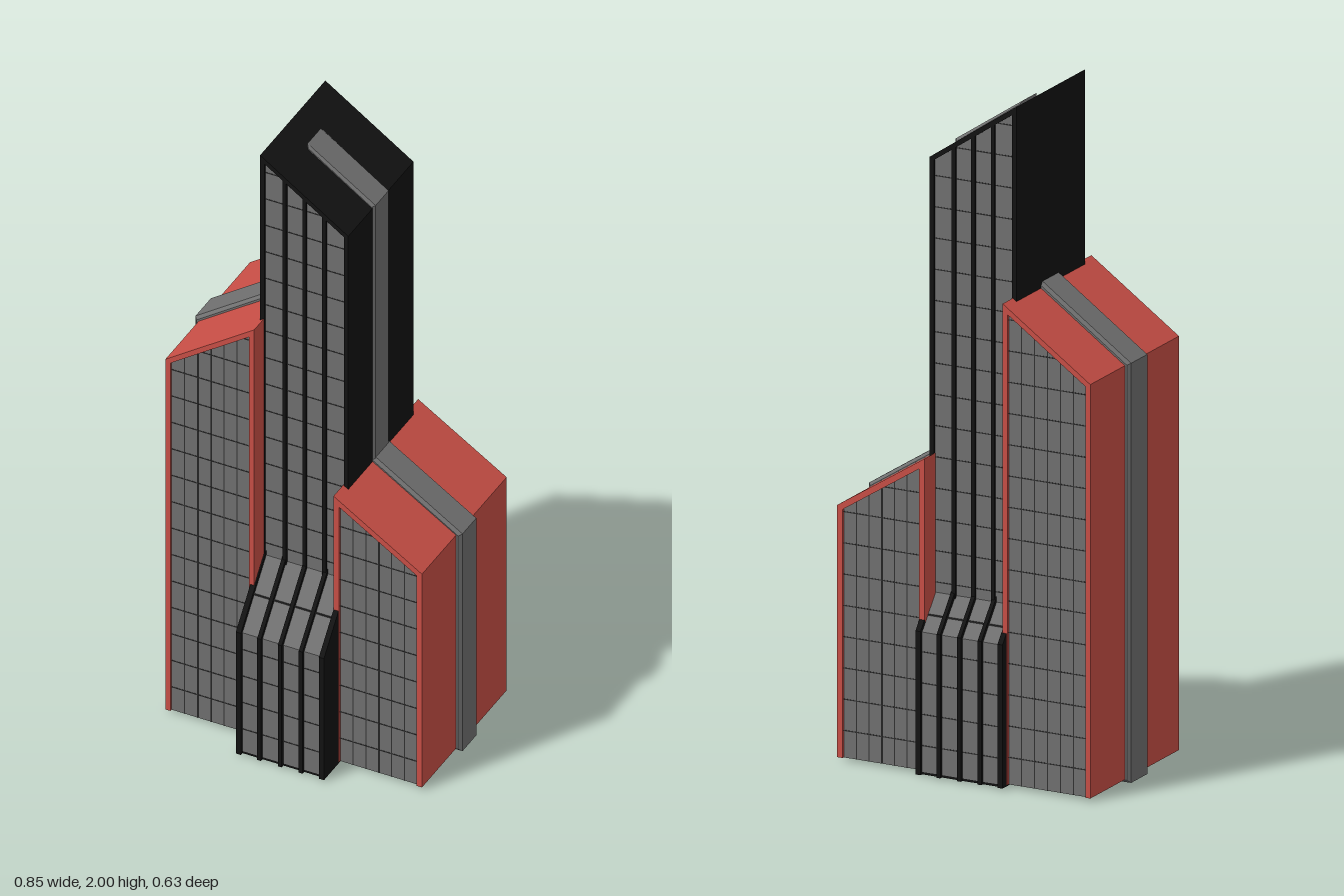
import * as THREE from 'three';

const RED = new THREE.MeshStandardMaterial({ color: 0xc94f46 });
const BLACK = new THREE.MeshStandardMaterial({ color: 0x121212 });
const GREY = new THREE.MeshStandardMaterial({ color: 0x707070 });
const LINE = new THREE.MeshStandardMaterial({ color: 0x303030 });

const INSET = 0.01; // how far the glass sits behind its frame

// Extrude an outline in the x/y plane from z0 to z1, optionally chamfered
function prism(name, points, z0, z1, material, bevel = 0) {
  const shape = new THREE.Shape(points.map(p => new THREE.Vector2(...p)));
  const geometry = new THREE.ExtrudeGeometry(shape, {
    depth: z1 - z0 - 2 * bevel, bevelEnabled: bevel > 0, bevelSize: bevel,
    bevelThickness: bevel, bevelOffset: -bevel, bevelSegments: 1,
  });
  geometry.translate(0, 0, z0 + bevel);
  const mesh = new THREE.Mesh(geometry, material);
  mesh.name = name;
  return mesh;
}

// Extrude an outline given as [z, y] across x0..x1
function crossPrism(name, points, x0, x1, material) {
  const mesh = prism(name, points, -x1, -x0, material);
  mesh.geometry.rotateY(-Math.PI / 2);
  return mesh;
}

function bar(name, x0, x1, y0, y1, z0, z1, material) {
  const mesh = new THREE.Mesh(new THREE.BoxGeometry(x1 - x0, y1 - y0, z1 - z0), material);
  mesh.position.set((x0 + x1) / 2, (y0 + y1) / 2, (z0 + z1) / 2);
  mesh.name = name;
  return mesh;
}

// Block with a slanted roof and a framed, gridded glass wall at front and back
function slantedBlock(name, { x0, x1, top0, top1, z0, z1, base, frame, columns, fin, material }) {
  const group = new THREE.Group();
  group.name = name;
  const slope = (top1 - top0) / (x1 - x0);
  const top = x => top0 + slope * (x - x0);
  const a = x0 + frame, b = x1 - frame;
  const edge = x => top(x) - frame * 1.2;

  group.add(prism('body', [[x0, base], [x1, base], [x1, top1], [x0, top0]],
    z0 + INSET, z1 - INSET, material));
  const framePoints = [[x0, base], [a, base], [a, edge(a)], [b, edge(b)], [b, base],
    [x1, base], [x1, top1], [x0, top0]];
  const glassPoints = [[a, base], [b, base], [b, edge(b)], [a, edge(a)]];

  for (const [outer, dir] of [[z1, 1], [z0, -1]]) {
    const inner = outer - dir * INSET;
    const layer = (from, depth) => [Math.min(from, from + dir * depth), Math.max(from, from + dir * depth)];
    group.add(prism('frame', framePoints, ...layer(inner, INSET), material));
    group.add(prism('glass', glassPoints, ...layer(inner, 0.003), GREY));

    // Upright mullions, cut to the roof slope
    const w = fin ? 0.006 : 0.0015;
    for (let i = 1; i < columns; i++) {
      const x = a + (b - a) * i / columns;
      group.add(prism('mullion', [[x - w, base], [x + w, base], [x + w, edge(x + w)], [x - w, edge(x - w)]],
        ...layer(inner, fin ? INSET : 0.004), fin ? BLACK : LINE));
    }
    // Floor lines, shortened where the roof cuts them
    for (let y = 0.09; y < Math.max(edge(a), edge(b)); y += 0.0925) {
      const cut = x0 + (y + frame * 1.2 - top0) / slope;
      const left = slope > 0 ? Math.max(a, cut) : a;
      const right = slope < 0 ? Math.min(b, cut) : b;
      if (right - left > 0.005) {
        group.add(bar('floorLine', left, right, y - 0.0015, y + 0.0015, ...layer(inner, 0.004), LINE));
      }
    }
  }
  return group;
}

// Low annex with a sloping glass roof, running through the tower front to back
function podium() {
  const group = new THREE.Group();
  group.name = 'podium';
  const profile = (d, base) => [
    [0.315 - d, base], [0.315 - d, 0.43 - d * 0.4], [0.15, 0.628 - d * 1.6],
    [-0.22, 0.55 - d * 1.6], [-0.32 + d, 0.43 - d * 0.4], [-0.32 + d, base],
  ];
  group.add(crossPrism('glass', profile(INSET, 0.012), -0.13, 0.13, GREY));
  group.add(bar('floorPlate', -0.13, 0.13, 0.005, 0.012, -0.31, 0.305, BLACK));
  for (let i = 0; i < 5; i++) {
    const x = -0.132 + i * 0.066;
    const w = i % 4 === 0 ? 0.008 : 0.006;
    group.add(crossPrism('fin', profile(0, 0.005), x - w, x + w, BLACK));
  }
  for (let y = 0.09; y < 0.42; y += 0.0925) {
    group.add(bar('floorLine', -0.13, 0.13, y - 0.0015, y + 0.0015, -0.311, 0.306, LINE));
  }
  // Cross bars halfway up the sloping glass
  for (const [z, y] of [[0.235, 0.517], [-0.275, 0.469]]) {
    group.add(bar('roofLine', -0.13, 0.13, y - 0.003, y + 0.001, z - 0.0015, z + 0.0015, LINE));
  }
  return group;
}

export function createModel() {
  const model = new THREE.Group();
  model.name = 'skyscraper';

  model.add(slantedBlock('centralTower', {
    x0: -0.14, x1: 0.14, top0: 2, top1: 1.81, z0: -0.237, z1: 0.165,
    base: 0.005, frame: 0.014, columns: 4, fin: true, material: BLACK,
  }));
  model.add(slantedBlock('rightWing', {
    x0: -0.41, x1: -0.128, top0: 1.235, top1: 1.432, z0: -0.297, z1: 0.225,
    base: 0.01, frame: 0.016, columns: 6, fin: false, material: RED,
  }));
  model.add(slantedBlock('leftWing', {
    x0: 0.124, x1: 0.405, top0: 0.935, top1: 0.756, z0: -0.297, z1: 0.225,
    base: 0.01, frame: 0.018, columns: 6, fin: false, material: RED,
  }));
  model.add(podium());

  // Chamfered bands wrapping the roofs and outer walls
  model.add(prism('rightWingBand', [[-0.425, 0], [0, 0], [0, 1.3], [-0.1, 1.47], [-0.425, 1.242]],
    -0.093, 0.02, GREY, 0.009));
  model.add(prism('leftWingBand', [[0, 0], [0.421, 0], [0.421, 0.76], [0.1, 0.966], [0, 0.9]],
    -0.088, 0.015, GREY, 0.009));
  model.add(prism('towerBand', [[-0.07, 0.9], [0.146, 0.9], [0.146, 1.818], [-0.07, 1.963]],
    -0.08, 0.016, GREY, 0.008));
  return model;
}
